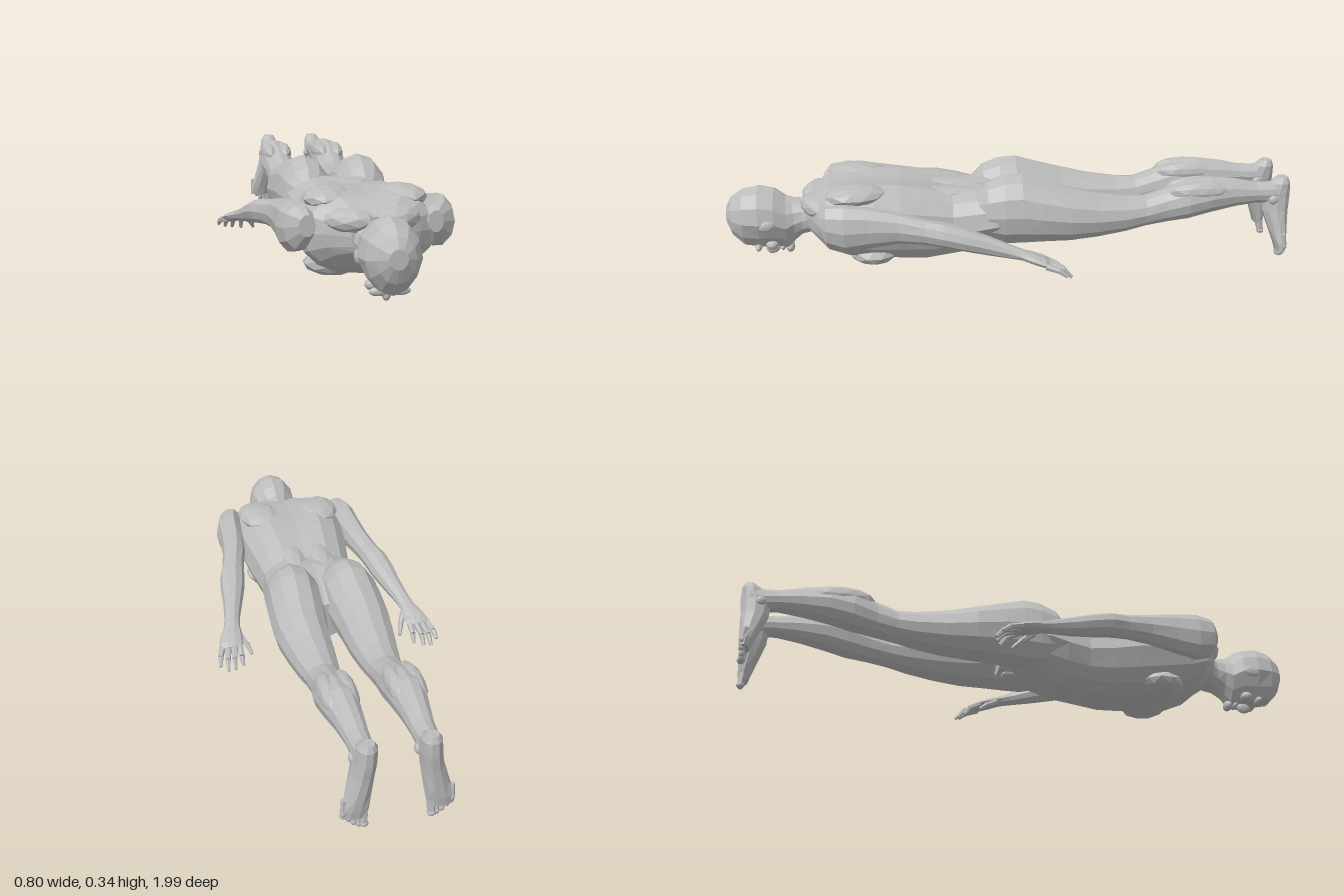
import * as THREE from 'three';

const skin = new THREE.MeshStandardMaterial({ color: 0xbcbcbc });
skin.name = 'clay grey';
skin.flatShading = true;

const named = (geometry, name) => {
  const mesh = new THREE.Mesh(geometry, skin);
  mesh.name = name;
  return mesh;
};

// Closed skin over oval sections in the xy plane, ordered from +z to -z.
// Section: [z, centreX, centreY, radiusX, radiusY, groove, taper]
function loft(sections, { sides = 12, square = 1, side = 1 } = {}) {
  const pos = [], idx = [], n = sections.length;
  const power = (v) => Math.sign(v) * Math.pow(Math.abs(v), square);
  sections.forEach(([z, cx, cy, rx, ry, groove = 0, taper = 0]) => {
    for (let j = 0; j < sides; j++) {
      const a = (j / sides) * Math.PI * 2;
      const c = power(Math.cos(a)), s = power(Math.sin(a));
      const dent = s > 0 && Math.abs(c) < 0.1 ? groove : 0;
      pos.push(side * cx + rx * c * (1 - taper * Math.max(0, -s)), cy + ry * s - dent, z);
    }
  });
  for (let i = 0; i < n - 1; i++) {
    for (let j = 0; j < sides; j++) {
      const a = i * sides + j, b = i * sides + (j + 1) % sides, c = a + sides, d = b + sides;
      if ((i + j) % 2) idx.push(a, c, b, b, c, d);
      else idx.push(a, d, b, a, c, d);
    }
  }
  // End caps
  [0, n - 1].forEach((i) => {
    const [z, cx, cy] = sections[i], centre = pos.length / 3;
    pos.push(side * cx, cy, z);
    for (let j = 0; j < sides; j++) {
      const a = i * sides + j, b = i * sides + (j + 1) % sides;
      if (i === 0) idx.push(centre, a, b);
      else idx.push(centre, b, a);
    }
  });
  const g = new THREE.BufferGeometry();
  g.setAttribute('position', new THREE.Float32BufferAttribute(pos, 3));
  g.setIndex(idx);
  g.computeVertexNormals();
  return g;
}

// Faceted muscle or feature
function blob(name, [x, y, z], [rx, ry, rz], [ax, ay, az] = [0, 0, 0]) {
  const mesh = named(new THREE.IcosahedronGeometry(1, 1), name);
  mesh.position.set(x, y, z);
  mesh.scale.set(rx, ry, rz);
  mesh.rotation.set(ax, ay, az);
  return mesh;
}

// Tapered bone between two points
function segment(name, from, to, r0, r1) {
  const a = new THREE.Vector3(...from), b = new THREE.Vector3(...to);
  const dir = b.clone().sub(a);
  const mesh = named(new THREE.CylinderGeometry(r1, r0, dir.length(), 6), name);
  mesh.position.copy(a).add(b).multiplyScalar(0.5);
  mesh.quaternion.setFromUnitVectors(new THREE.Vector3(0, 1, 0), dir.normalize());
  return mesh;
}

function buildHead() {
  const head = new THREE.Group();
  head.name = 'head';
  head.add(named(loft([
    [0.998, 0, 0.195, 0.028, 0.03],
    [0.98, 0, 0.19, 0.057, 0.07],
    [0.94, 0, 0.183, 0.084, 0.105, 0, 0.15],
    [0.885, 0, 0.182, 0.094, 0.116, 0, 0.3],
    [0.83, 0, 0.177, 0.086, 0.109, 0, 0.35],
    [0.79, 0, 0.158, 0.072, 0.1, 0, 0.4],
    [0.765, 0, 0.17, 0.062, 0.08, 0, 0.3],
    [0.735, 0, 0.18, 0.06, 0.065],
    [0.69, 0, 0.195, 0.078, 0.068],
    [0.63, 0, 0.2, 0.12, 0.08],
  ]), 'skullAndNeck'));
  head.add(blob('nose', [0, 0.062, 0.847], [0.014, 0.022, 0.026], [0.35, 0, 0]));
  head.add(blob('mouth', [0, 0.066, 0.812], [0.024, 0.013, 0.01]));
  head.add(blob('chin', [0, 0.064, 0.786], [0.026, 0.02, 0.016]));
  [-1, 1].forEach((s) => {
    head.add(blob('brow', [s * 0.033, 0.08, 0.893], [0.03, 0.014, 0.012]));
    head.add(blob('cheek', [s * 0.042, 0.09, 0.845], [0.022, 0.018, 0.022]));
    head.add(blob('ear', [s * 0.086, 0.175, 0.855], [0.01, 0.02, 0.03], [0.2, 0, 0]));
  });
  return head;
}

function buildTorso() {
  const torso = new THREE.Group();
  torso.name = 'torso';
  torso.add(named(loft([
    [0.715, 0, 0.2, 0.075, 0.06],
    [0.68, 0, 0.205, 0.15, 0.085, 0.006],
    [0.64, 0, 0.2, 0.205, 0.115, 0.012],
    [0.57, 0, 0.19, 0.215, 0.138, 0.016, 0.1],
    [0.48, 0, 0.183, 0.21, 0.147, 0.018, 0.15],
    [0.39, 0, 0.175, 0.2, 0.148, 0.016, 0.18],
    [0.3, 0, 0.163, 0.185, 0.142, 0.014, 0.18],
    [0.21, 0, 0.157, 0.172, 0.124, 0.012, 0.18],
    [0.13, 0, 0.168, 0.181, 0.122, 0.008, 0.2],
    [0.06, 0, 0.182, 0.19, 0.115, 0.02, 0.3],
    [-0.02, 0, 0.185, 0.17, 0.1, 0.02, 0.4],
    [-0.09, 0, 0.175, 0.09, 0.07, 0.01, 0.4],
  ], { sides: 16, square: 0.8 }), 'trunk'));
  torso.add(blob('groin', [0, 0.105, -0.03], [0.045, 0.03, 0.05]));
  [-1, 1].forEach((s) => {
    torso.add(blob('chestMuscle', [s * 0.09, 0.075, 0.49], [0.095, 0.042, 0.085], [0, s * 0.3, 0]));
    torso.add(blob('shoulderBlade', [s * 0.115, 0.295, 0.54], [0.08, 0.036, 0.11], [0, s * 0.25, 0]));
    torso.add(blob('neckMuscle', [s * 0.075, 0.245, 0.68], [0.085, 0.04, 0.05], [0, s * 0.45, 0]));
    torso.add(blob('lowerBackMuscle', [s * 0.05, 0.262, 0.25], [0.045, 0.028, 0.16]));
  });
  return torso;
}

function buildArm(s) {
  const arm = new THREE.Group();
  arm.name = s > 0 ? 'leftArm' : 'rightArm';
  arm.add(named(loft([
    [0.668, 0.2, 0.23, 0.025, 0.035],
    [0.64, 0.218, 0.222, 0.05, 0.072],
    [0.58, 0.23, 0.215, 0.053, 0.085],
    [0.5, 0.234, 0.218, 0.048, 0.073],
    [0.4, 0.245, 0.217, 0.043, 0.054],
    [0.31, 0.264, 0.207, 0.041, 0.043],
    [0.25, 0.278, 0.2, 0.046, 0.043],
    [0.18, 0.289, 0.185, 0.044, 0.04],
    [0.1, 0.303, 0.165, 0.034, 0.033],
    [0.03, 0.318, 0.148, 0.028, 0.024],
    [-0.01, 0.326, 0.138, 0.03, 0.019],
    [-0.045, 0.334, 0.128, 0.04, 0.019],
    [-0.085, 0.341, 0.116, 0.044, 0.016],
    [-0.102, 0.342, 0.109, 0.036, 0.011],
  ], { sides: 10, side: s }), 'armAndPalm'));
  // Fingers: knuckle, middle joint, tip
  const fingers = [
    ['thumb', [0.304, 0.125, -0.03], [0.284, 0.102, -0.066], [0.272, 0.076, -0.098]],
    ['indexFinger', [0.312, 0.112, -0.09], [0.312, 0.094, -0.128], [0.311, 0.064, -0.148]],
    ['middleFinger', [0.333, 0.111, -0.094], [0.34, 0.094, -0.142], [0.342, 0.064, -0.166]],
    ['ringFinger', [0.354, 0.11, -0.093], [0.364, 0.095, -0.145], [0.367, 0.066, -0.173]],
    ['littleFinger', [0.374, 0.111, -0.086], [0.387, 0.099, -0.128], [0.392, 0.078, -0.156]],
  ];
  fingers.forEach(([name, ...joints]) => {
    const [a, b, c] = joints.map(([x, y, z]) => [s * x, y, z]);
    arm.add(segment(name, a, b, 0.012, 0.0095), segment(name + 'Tip', b, c, 0.01, 0.006));
  });
  return arm;
}

function buildLeg(s) {
  const leg = new THREE.Group();
  leg.name = s > 0 ? 'leftLeg' : 'rightLeg';
  leg.add(named(loft([
    [0.13, 0.1, 0.215, 0.05, 0.06],
    [0.09, 0.099, 0.212, 0.084, 0.105],
    [0.03, 0.1, 0.215, 0.097, 0.126],
    [-0.03, 0.102, 0.217, 0.1, 0.127],
    [-0.1, 0.106, 0.208, 0.1, 0.113],
    [-0.2, 0.112, 0.195, 0.093, 0.096],
    [-0.3, 0.108, 0.187, 0.083, 0.079],
    [-0.4, 0.105, 0.187, 0.07, 0.064],
    [-0.47, 0.103, 0.194, 0.06, 0.055],
    [-0.54, 0.104, 0.211, 0.058, 0.061],
    [-0.62, 0.108, 0.232, 0.066, 0.07],
    [-0.7, 0.107, 0.247, 0.061, 0.066],
    [-0.79, 0.103, 0.25, 0.048, 0.052],
    [-0.87, 0.1, 0.246, 0.039, 0.038],
    [-0.92, 0.099, 0.243, 0.036, 0.04],
    [-0.965, 0.099, 0.245, 0.032, 0.045],
  ], { sides: 12, side: s }), 'thighAndCalf'));
  // Foot runs downward from heel to ball; local y points to -z
  const foot = loft([
    [0.3, 0.095, 0.968, 0.02, 0.02],
    [0.28, 0.096, 0.96, 0.032, 0.037],
    [0.23, 0.099, 0.945, 0.036, 0.053],
    [0.18, 0.106, 0.945, 0.037, 0.048],
    [0.12, 0.118, 0.955, 0.041, 0.035],
    [0.07, 0.13, 0.963, 0.045, 0.024],
    [0.04, 0.134, 0.966, 0.042, 0.017],
  ], { sides: 10, side: s });
  foot.rotateX(-Math.PI / 2);
  leg.add(named(foot, 'foot'));
  for (let i = 0; i < 5; i++) {
    const x = 0.104 + i * 0.0155, y = 0.012 + 0.003 * i * i;
    const r = i === 0 ? 0.014 : 0.0095;
    leg.add(segment('toe', [s * (x - 0.001), y + 0.045, -0.966], [s * x, y, -0.972], r, r * 0.9));
    leg.add(blob('toeTip', [s * x, y, -0.972], [r, 0.012, r]));
  }
  leg.add(blob('kneecap', [s * 0.103, 0.158, -0.46], [0.035, 0.022, 0.045]));
  [-1, 1].forEach((k) => {
    leg.add(blob('ankleBone', [s * (0.099 + k * 0.032), 0.225, -0.93], [0.012, 0.018, 0.018]));
    leg.add(blob('calfMuscle', [s * (0.107 + k * 0.03), 0.268, -0.66], [0.032, 0.038, 0.11]));
  });
  return leg;
}

export function createModel() {
  const figure = new THREE.Group();
  figure.name = 'lyingFigure';
  figure.add(buildHead(), buildTorso());
  [-1, 1].forEach((s) => figure.add(buildArm(s), buildLeg(s)));
  return figure;
}
